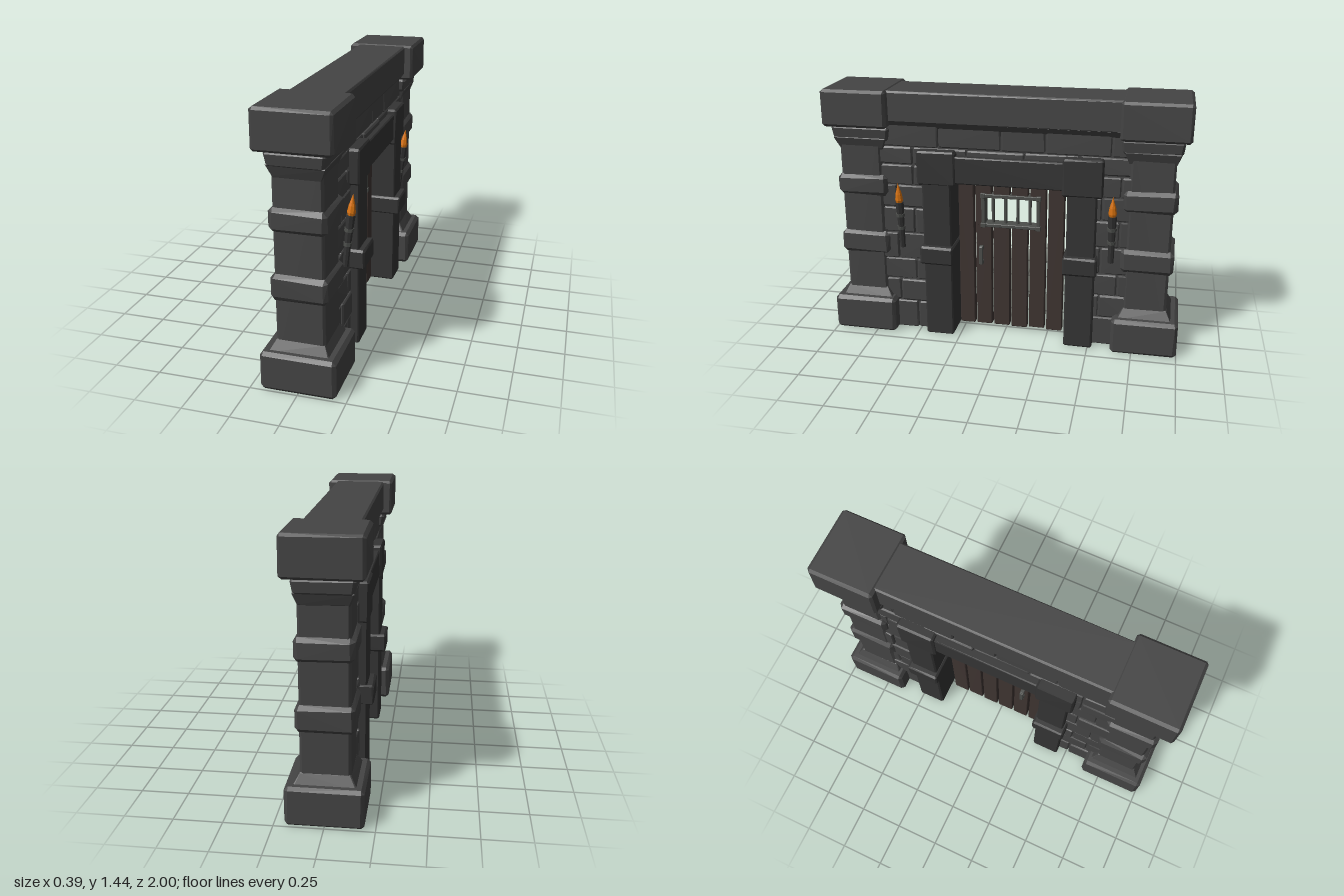
import * as THREE from 'three';
import { ConvexGeometry } from 'three/addons/geometries/ConvexGeometry.js';

const mat = (color) => new THREE.MeshStandardMaterial({ color, flatShading: true });

export function createModel() {
  const root = new THREE.Group();
  const stone = mat(0x444444), dark = mat(0x343434), wood = mat(0x3e3431);
  const iron = mat(0x4c4e4b), flameMat = mat(0xd9730f);

  let seed = 7;
  const rnd = () => (seed = (seed * 16807) % 2147483647) / 2147483647;

  const group = (name, parent = root) => {
    const g = new THREE.Group();
    g.name = name;
    parent.add(g);
    return g;
  };
  const add = (parent, name, geo, material) => {
    const m = new THREE.Mesh(geo, material);
    m.name = name;
    parent.add(m);
    return m;
  };

  // Worn chamfered block; top / bottom pull that end inwards, wear is the random chipping
  function block(parent, name, [x0, x1], [y0, y1], [z0, z1], material,
    { bevel = 0.012, wear = 0.006, top = 0, bottom = 0 } = {}) {
    const pts = [];
    for (const sx of [-1, 1]) for (const sy of [-1, 1]) for (const sz of [-1, 1]) {
      const inset = sy > 0 ? top : bottom;
      const x = sx > 0 ? x1 - inset : x0 + inset;
      const z = sz > 0 ? z1 - inset : z0 + inset;
      const y = sy > 0 ? y1 : y0;
      for (let axis = 0; axis < 3; axis++) {
        const b = [0, 1, 2].map((i) => (i === axis ? rnd() * wear * 0.3 : bevel + rnd() * wear));
        pts.push(new THREE.Vector3(x - sx * b[0], y - sy * b[1], z - sz * b[2]));
      }
    }
    return add(parent, name, new ConvexGeometry(pts), material);
  }
  const sym = (h) => [-h, h];

  // Pillars at both ends
  for (const s of [1, -1]) {
    const pillar = group(s > 0 ? 'frontPillar' : 'backPillar');
    const zr = (a, b) => (s > 0 ? [a, b] : [-b, -a]);
    const part = (name, hx, y, z, opt) => block(pillar, name, sym(hx), y, zr(...z), stone, opt);
    part('base', 0.197, [0, 0.21], [0.63, 1], { bevel: 0.016 });
    part('baseMoulding', 0.16, [0.19, 0.26], [0.655, 0.965], { bevel: 0.003, top: 0.033 });
    part('shaft', 0.127, [0.15, 1.2], [0.69, 0.93], { wear: 0.004 });
    for (const [y0, y1] of [[0.475, 0.615], [0.83, 0.955]])
      part('band', 0.147, [y0, y1], [0.66, 0.953], { bevel: 0.018, wear: 0.01 });
    part('neckFlare', 0.145, [1.1, 1.17], [0.655, 0.955], { bevel: 0.003, bottom: 0.022 });
    part('neck', 0.15, [1.155, 1.235], [0.635, 0.968], { bevel: 0.01, bottom: 0.008 });
    part('cap', 0.197, [1.235, 1.445], [0.63, 1], { bevel: 0.012 });
  }

  // Top beam with a sloped underside
  const beam = group('topBeam');
  block(beam, 'beam', sym(0.147), [1.265, 1.44], sym(0.68), stone, { bevel: 0.008, wear: 0.004 });
  block(beam, 'beamUnderside', sym(0.143), [1.235, 1.275], sym(0.66), stone, { bevel: 0.002, wear: 0.003, bottom: 0.025 });

  // Wall: mortar core with courses of bricks around the doorway
  const wall = group('wall');
  const core = (y, z) => block(wall, 'mortarCore', sym(0.102), y, z, stone, { bevel: 0.001, wear: 0 });
  core([0.01, 1.27], [0.32, 0.75]);
  core([0.01, 1.27], [-0.75, -0.4]);
  core([0.95, 1.27], [-0.41, 0.33]);
  const brick = (y, z) =>
    block(wall, 'brick', [-0.113 - rnd() * 0.012, 0.113 + rnd() * 0.012], y, z, stone, { bevel: 0.005, wear: 0.006 });
  const rows = [0.005, 0.18, 0.32, 0.45, 0.61, 0.765, 0.9, 1.02, 1.125, 1.26];
  for (let i = 0; i < 9; i++) {
    const y = [rows[i] + 0.002, rows[i + 1] - 0.002];
    let spans;
    if (i === 8) spans = [0.72, 0.36, 0.01, -0.235, -0.59, -0.72];
    else if (i === 7) spans = [0.72, 0.51, 0.2, -0.12, -0.42, -0.72];
    else {
      const d = i % 2 ? 0.07 : -0.03;
      spans = [0.72, 0.54 + d, 0.36, null, -0.42, -0.62 + d, -0.72];
    }
    for (let k = 0; k + 1 < spans.length; k++)
      if (spans[k] !== null && spans[k + 1] !== null) brick(y, [spans[k + 1] + 0.002, spans[k] - 0.002]);
  }

  // Door surround: posts, bands, corner blocks and header
  const frame = group('doorFrame');
  const sides = [
    { post: [0.285, 0.45], band: [0.272, 0.467], corner: [0.258, 0.477], y: 0.925 },
    { post: [-0.525, -0.362], band: [-0.538, -0.348], corner: [-0.555, -0.333], y: 0.905 },
  ];
  for (const p of sides) {
    block(frame, 'post', sym(0.162), [0, 0.96], p.post, dark, { bevel: 0.007, wear: 0.004 });
    block(frame, 'postBand', sym(0.197), [0.455, 0.565], p.band, dark, { bevel: 0.008 });
    block(frame, 'cornerBlock', sym(0.17), [p.y, 1.12], p.corner, dark, { bevel: 0.008 });
  }
  block(frame, 'header', sym(0.155), [0.935, 1.092], [-0.36, 0.28], dark, { bevel: 0.006, wear: 0.004 });

  // Door planks, cut around the barred window
  const door = group('door');
  const hole = { y: [0.665, 0.83], z: [-0.185, 0.125] };
  const planks = [[0.187, 0.276], [0.083, 0.175], [-0.022, 0.072], [-0.127, -0.034], [-0.231, -0.139], [-0.335, -0.243]];
  const slat = (y, z) => block(door, 'plank', sym(0.025), y, z, wood, { bevel: 0.003, wear: 0.002 });
  for (const [a, b] of planks) {
    const bottom = 0.018 + rnd() * 0.008, top = 0.922 - rnd() * 0.006;
    if (b < hole.z[0] || a > hole.z[1]) {
      slat([bottom, top], [a, b]);
      continue;
    }
    slat([bottom, hole.y[0]], [a, b]);
    slat([hole.y[1], top], [a, b]);
    if (b > hole.z[1]) slat([hole.y[0] - 0.01, hole.y[1] + 0.01], [hole.z[1], b]);
    if (a < hole.z[0]) slat([hole.y[0] - 0.01, hole.y[1] + 0.01], [a, hole.z[0]]);
  }

  // Barred window
  const win = group('barredWindow', door);
  const metal = (name, hx, y, z) => block(win, name, sym(hx), y, z, iron, { bevel: 0.002, wear: 0.001 });
  for (const y of [[0.65, 0.67], [0.827, 0.848]]) metal('windowRail', 0.036, y, [-0.2, 0.143]);
  for (const z of [[-0.198, -0.178], [0.12, 0.141]]) metal('windowStile', 0.036, [0.65, 0.848], z);
  for (const y of [0.66, 0.838]) for (const z of [-0.189, 0.131])
    metal('windowCorner', 0.041, [y - 0.014, y + 0.014], [z - 0.014, z + 0.014]);
  for (const z of [0.078, 0.005, -0.065, -0.136]) {
    const bar = add(win, 'windowBar', new THREE.CylinderGeometry(0.009, 0.009, 0.18, 8), iron);
    bar.position.set(0, 0.749, z);
  }

  // Pull handles on both faces
  for (const s of [1, -1]) {
    const handle = group('doorHandle', door);
    const piece = (name, x, y, hx, hy, hz) => block(handle, name, [x - hx, x + hx], [y - hy, y + hy],
      [0.142 - hz, 0.142 + hz], iron, { bevel: 0.003, wear: 0.001 });
    piece('handleGrip', s * 0.05, 0.475, 0.008, 0.055, 0.011);
    for (const y of [0.43, 0.52]) piece('handleMount', s * 0.035, y, 0.016, 0.012, 0.012);
  }

  // Torches leaning out from the wall
  const profile = (pts) => new THREE.LatheGeometry(pts.map(([r, y]) => new THREE.Vector2(r, y)), 8);
  for (const z of [0.585, -0.61]) {
    const torch = group('torch');
    torch.position.set(0.127, 0.53, z);
    torch.rotation.z = -0.1;
    add(torch, 'torchHandle', profile([[0, 0], [0.016, 0], [0.019, 0.14], [0.021, 0.2], [0.025, 0.285], [0, 0.285]]), dark);
    for (const [y, r] of [[0.125, 0.023], [0.205, 0.026]]) {
      const ring = add(torch, 'torchRing', new THREE.CylinderGeometry(r, r, 0.018, 8), iron);
      ring.position.y = y;
    }
    const flame = add(torch, 'flame',
      profile([[0, 0.27], [0.017, 0.275], [0.023, 0.3], [0.018, 0.335], [0.008, 0.37], [0, 0.4]]), flameMat);
    flame.position.x = 0.002;
  }
  return root;
}
